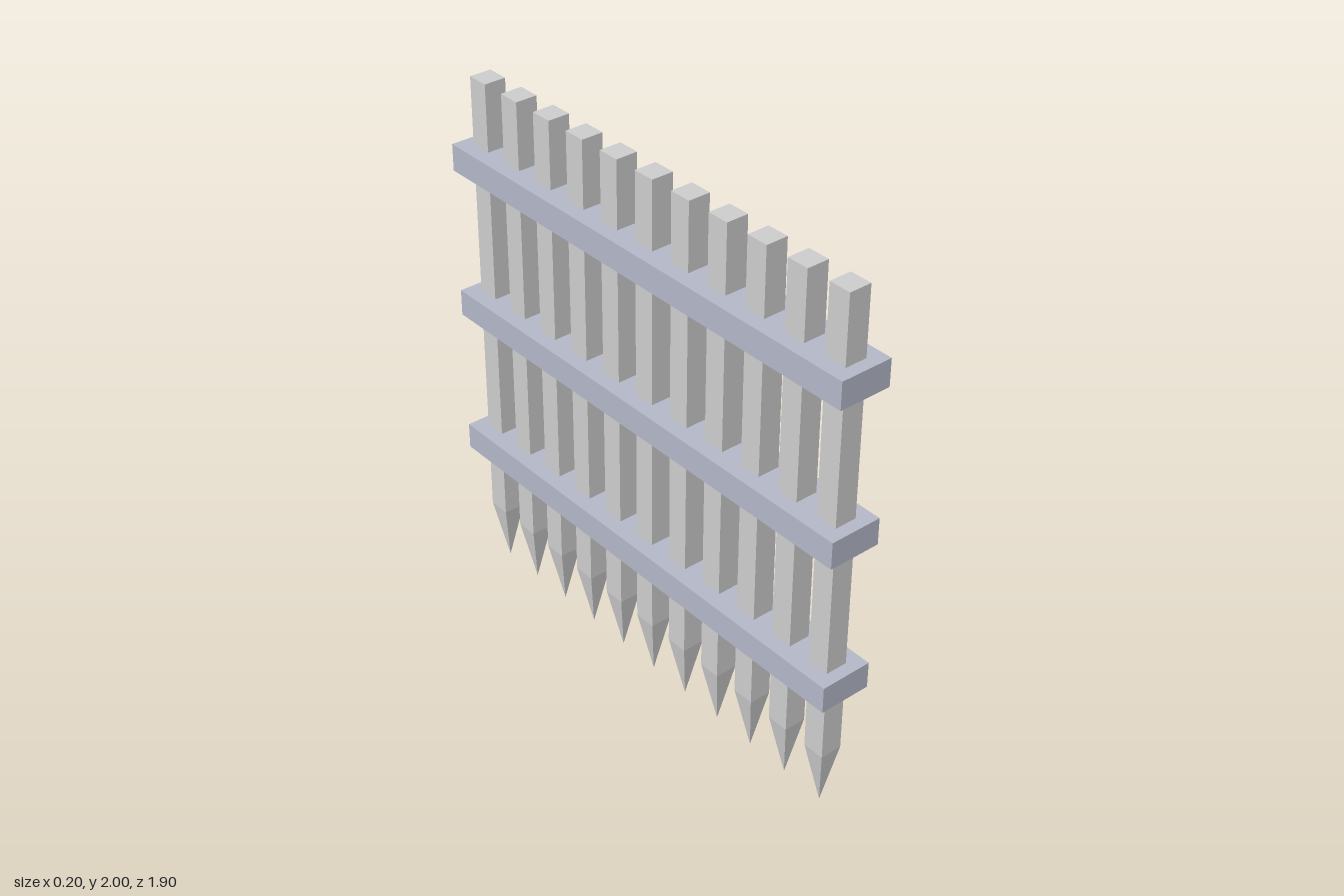
import * as THREE from 'three';

export function createModel() {
  const gate = new THREE.Group();
  gate.name = 'portcullis';

  const barMaterial = new THREE.MeshStandardMaterial({ color: 0xcccccc, flatShading: true });
  const railMaterial = new THREE.MeshStandardMaterial({ color: 0xb2b6c6, flatShading: true });

  const barCount = 11, spacing = 0.173, barWidth = 0.083;
  const spikeHeight = 0.24, height = 2;

  // Square shaft and four-sided spike shared by all bars
  const shaftGeometry = new THREE.BoxGeometry(barWidth, height - spikeHeight, barWidth);
  shaftGeometry.translate(0, (height + spikeHeight) / 2, 0);
  const spikeGeometry = new THREE.ConeGeometry(barWidth * Math.SQRT1_2, spikeHeight, 4, 1, true, Math.PI / 4);
  spikeGeometry.rotateX(Math.PI).translate(0, spikeHeight / 2, 0);

  // Row of upright bars with points at the bottom
  for (let i = 0; i < barCount; i++) {
    const bar = new THREE.Group();
    bar.name = `bar${i + 1}`;
    const shaft = new THREE.Mesh(shaftGeometry, barMaterial);
    shaft.name = 'shaft';
    const spike = new THREE.Mesh(spikeGeometry, barMaterial);
    spike.name = 'spike';
    bar.add(shaft, spike);
    bar.position.z = (i - (barCount - 1) / 2) * spacing;
    gate.add(bar);
  }

  // Three cross rails holding the bars together
  const railGeometry = new THREE.BoxGeometry(0.196, 0.1, 1.905);
  [['lowerRail', 0.55], ['middleRail', 1.125], ['upperRail', 1.7]].forEach(([name, y]) => {
    const rail = new THREE.Mesh(railGeometry, railMaterial);
    rail.name = name;
    rail.position.y = y;
    gate.add(rail);
  });

  return gate;
}
